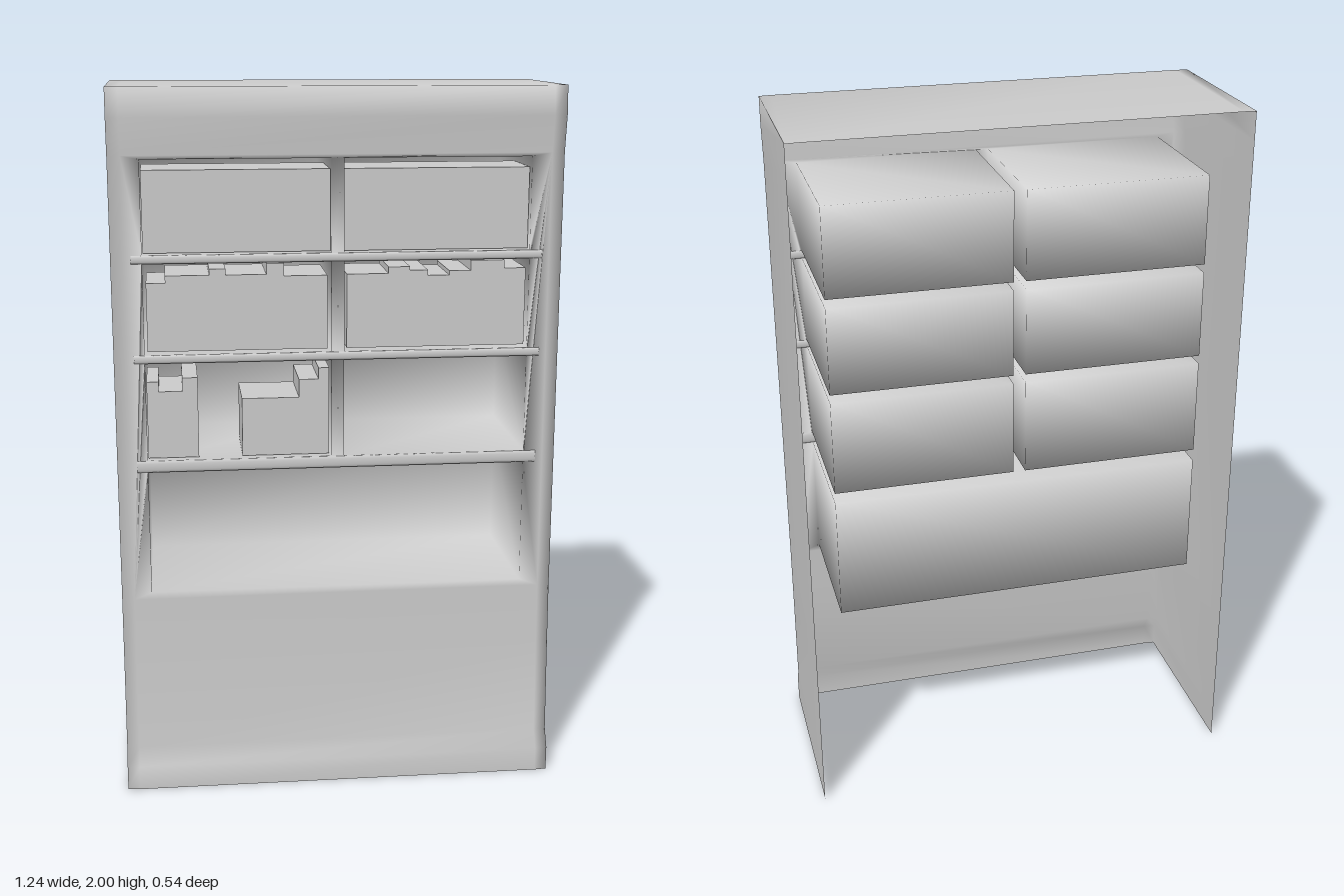
import * as THREE from 'three';
import { mergeGeometries, mergeVertices } from 'three/addons/utils/BufferGeometryUtils.js';

const material = new THREE.MeshStandardMaterial({ color: 0xcccccc, side: THREE.DoubleSide });
const BACK = -0.27, FACE = 0.224, NICHE_BACK = -0.186;

function addMesh(parent, name, geometry) {
  const mesh = new THREE.Mesh(geometry, material);
  mesh.name = name;
  parent.add(mesh);
  return mesh;
}

// Join equal-length rows of points into a sheet; skip(row, column) leaves a gap
function loft(rows, skip = () => false) {
  const n = rows[0].length, index = [];
  for (let r = 0; r < rows.length - 1; r++) {
    for (let c = 0; c < n - 1; c++) {
      if (skip(r, c)) continue;
      const a = r * n + c, b = a + n;
      index.push(a, a + 1, b + 1, a, b + 1, b);
    }
  }
  const geometry = new THREE.BufferGeometry();
  geometry.setAttribute('position', new THREE.Float32BufferAttribute(rows.flat(2), 3));
  geometry.setIndex(index);
  return geometry;
}

// Weld sheets into one smoothly shaded surface
function weld(sheets) {
  for (const sheet of sheets) {
    sheet.deleteAttribute('normal');
    sheet.deleteAttribute('uv');
  }
  const geometry = mergeVertices(mergeGeometries(sheets), 1e-4);
  geometry.computeVertexNormals();
  return geometry;
}

// Openings: x0, x1, y0, y1
const openings = [[-0.535, 0.53, 0.59, 0.945]];
for (const [y0, y1] of [[0.98, 1.255], [1.28, 1.53], [1.555, 1.81]]) {
  openings.push([-0.535, -0.02, y0, y1], [0.015, 0.53, y0, y1]);
}

// Book runs: x start, floor, then pairs of right edge and top
const bookRuns = [
  [-0.533, 1.557, [[-0.022, 1.78]]],
  [0.017, 1.557, [[0.528, 1.78]]],
  [-0.527, 1.285, [[-0.475, 1.475], [-0.355, 1.495], [-0.31, 1.512], [-0.198, 1.495], [-0.15, 1.525], [-0.03, 1.49]]],
  [0.024, 1.285, [[0.14, 1.492], [0.2, 1.51], [0.25, 1.5], [0.31, 1.485], [0.37, 1.497], [0.465, 1.525], [0.525, 1.502]]],
  [-0.533, 0.982, [[-0.5, 1.2], [-0.435, 1.172], [-0.392, 1.21]]],
  [-0.27, 0.982, [[-0.11, 1.147], [-0.055, 1.198], [-0.025, 1.23]]],
];

function caseGeometry() {
  // Sides, moulded front and top, open at the back and bottom: y, front z
  const profile = [
    [0, 0.27], [0.07, 0.27], [0.12, 0.243], [0.4, 0.23],
    [0.57, FACE], [1.82, FACE], [1.92, 0.24], [2, 0.235], [2, BACK],
  ];
  const rows = profile.map(([y, z]) => [
    [-0.62, y, BACK], [-0.62, y, z - 0.003], [-0.585, y, z],
    [0.585, y, z], [0.62, y, z - 0.003], [0.62, y, BACK],
  ]);
  const sheets = [loft(rows, (r, c) => (r === 4 && c === 2) || (r === 7 && (c === 0 || c === 4)))];

  // Front frame pierced by the openings
  const frame = new THREE.Shape([[-0.585, 0.57], [0.585, 0.57], [0.585, 1.82], [-0.585, 1.82]]
    .map(p => new THREE.Vector2(...p)));
  for (const [x0, x1, y0, y1] of openings) {
    frame.holes.push(new THREE.Path([[x0, y0], [x0, y1], [x1, y1], [x1, y0]]
      .map(p => new THREE.Vector2(...p))));
  }
  sheets.push(new THREE.ShapeGeometry(frame).translate(0, 0, FACE));

  // Niches with straight walls and closed backs
  for (const [x0, x1, y0, y1] of openings) {
    const ring = z => [[x0, y0, z], [x1, y0, z], [x1, y1, z], [x0, y1, z], [x0, y0, z]];
    const back = ring(NICHE_BACK);
    sheets.push(loft([ring(FACE), back]), loft([[back[0], back[1]], [back[3], back[2]]]));
  }
  return weld(sheets);
}

export function createModel() {
  const group = new THREE.Group();
  group.name = 'bookcase';
  addMesh(group, 'caseWithNiches', caseGeometry());

  // Softly rounded shelf edges: y, half height
  for (const [y, r] of [[0.9625, 0.0165], [1.2675, 0.0115], [1.5425, 0.0115]]) {
    const edge = addMesh(group, 'shelfEdge', new THREE.CylinderGeometry(r, r, 1.13, 12, 1, true));
    edge.rotation.z = Math.PI / 2;
    edge.scale.z = 0.004 / r;
    edge.position.set(0, y, FACE);
  }

  // Rows of books with stepped tops
  for (const [start, floor, steps] of bookRuns) {
    const books = new THREE.Group();
    books.name = 'bookRow';
    let x = start;
    for (const [right, top] of steps) {
      addMesh(books, 'book', new THREE.BoxGeometry(right - x, top - floor, 0.2))
        .position.set((x + right) / 2, (floor + top) / 2, 0.105);
      x = right;
    }
    group.add(books);
  }
  return group;
}
